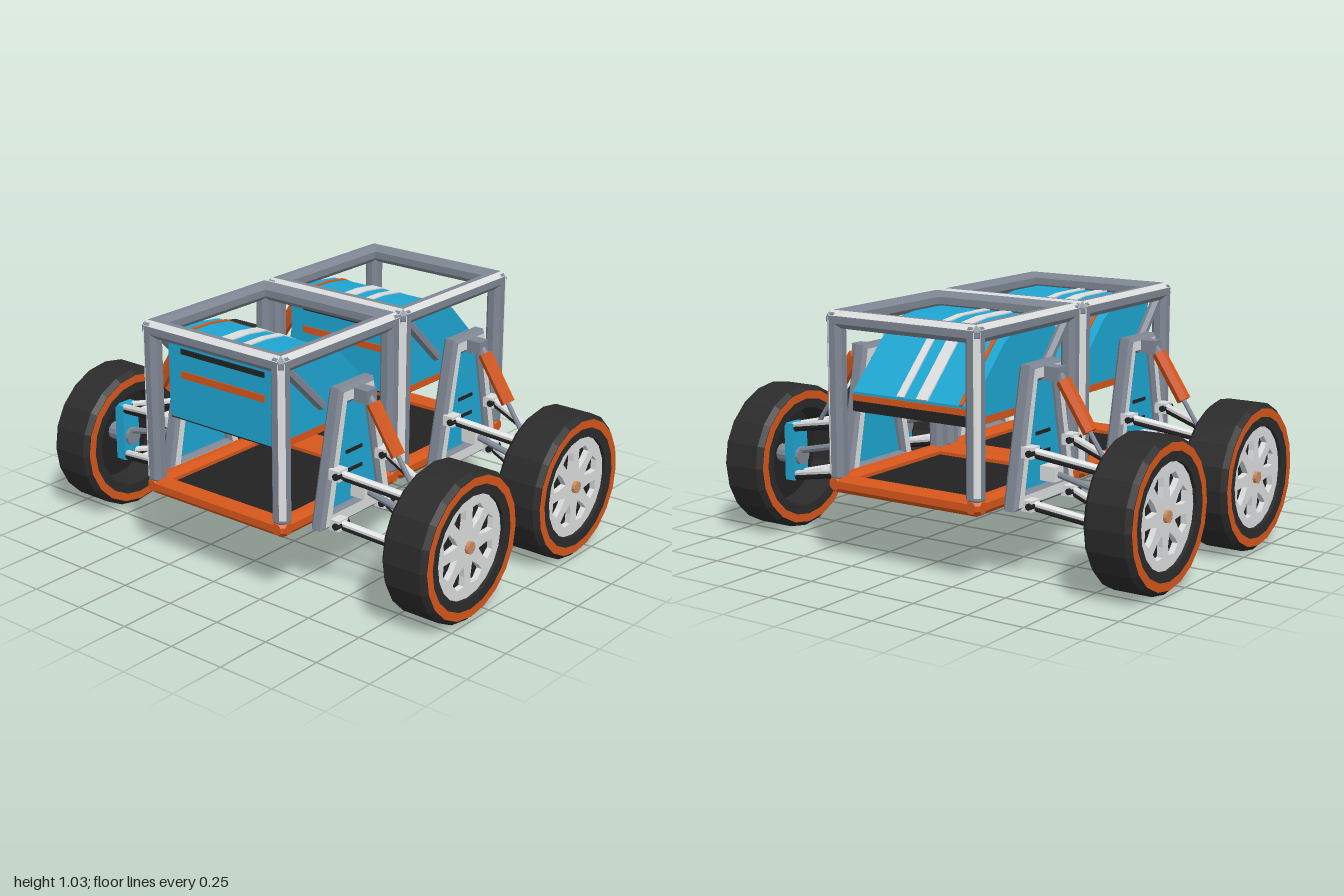
import * as THREE from 'three';

const mat = (name, color) => Object.assign(new THREE.MeshStandardMaterial({ color }), { name });
const M = {
  frame: mat('frame grey', 0x7f8794),
  silver: mat('silver', 0xdcdedf),
  blue: mat('shell blue', 0x1ea6d2),
  orange: mat('orange', 0xd7571b),
  black: mat('black', 0x222222),
  tyre: mat('tyre rubber', 0x2b2b2b),
  copper: mat('copper', 0xcf8c62),
};

const flat = (g) => {
  const n = g.index ? g.toNonIndexed() : g;
  n.computeVertexNormals();
  return n;
};

function add(parent, name, geo, material, x = 0, y = 0, z = 0) {
  const m = new THREE.Mesh(geo, material);
  m.name = name;
  m.position.set(x, y, z);
  parent.add(m);
  return m;
}

const box = (p, name, m, w, h, d, x, y, z) => add(p, name, new THREE.BoxGeometry(w, h, d), m, x, y, z);

const shapeOf = (pts) => new THREE.Shape(pts.map(([a, b]) => new THREE.Vector2(a, b)));

// Extrudes a side outline (z, y) between two x positions
function sideExtrude(shape, x0, x1, bevel = 0) {
  const g = new THREE.ExtrudeGeometry(shape, {
    depth: x1 - x0 - 2 * bevel, bevelEnabled: bevel > 0, bevelSize: bevel, bevelThickness: bevel,
    bevelOffset: -bevel, bevelSegments: 1, curveSegments: 20,
  });
  g.translate(0, 0, bevel);
  g.rotateY(-Math.PI / 2);
  g.translate(x1, 0, 0);
  return g;
}

// Straight rod between two points
function rod(p, name, m, a, b, r, sides = 8) {
  const A = new THREE.Vector3(...a), B = new THREE.Vector3(...b);
  const dir = B.clone().sub(A);
  const mesh = add(p, name, flat(new THREE.CylinderGeometry(r, r, dir.length(), sides)), m);
  mesh.position.copy(A).add(B).multiplyScalar(0.5);
  mesh.quaternion.setFromUnitVectors(new THREE.Vector3(0, 1, 0), dir.normalize());
  return mesh;
}

// Beam with chamfered edges and ends, along the given axis
function beam(p, name, m, len, axis, x, y, z) {
  const h = 0.035, c = 0.02, k = h - c;
  const s = shapeOf([[-k, -h], [k, -h], [h, -k], [h, k], [k, h], [-k, h], [-h, k], [-h, -k]]);
  const g = new THREE.ExtrudeGeometry(s, {
    depth: len - 2 * c, bevelEnabled: true, bevelSize: 0.012, bevelThickness: c, bevelOffset: -0.012, bevelSegments: 1,
  });
  g.translate(0, 0, c - len / 2);
  if (axis === 'x') g.rotateY(Math.PI / 2);
  if (axis === 'y') g.rotateX(Math.PI / 2);
  add(p, name, g, m, x, y, z);
}

function cubeFrame() {
  const g = new THREE.Group();
  g.name = 'cubeFrame';
  const e = 0.335, o = e + 0.025, top = 1.02, w = 0.029, t = 0.006;
  for (const s of [-1, 1]) {
    beam(g, 'topRail', M.frame, 0.74, 'x', 0, 0.995, s * e);
    beam(g, 'topRail', M.frame, 0.74, 'z', s * e, 0.995, 0);
    beam(g, 'bottomRail', M.orange, 0.74, 'x', 0, 0.325, s * e);
    beam(g, 'bottomRail', M.orange, 0.74, 'z', s * e, 0.325, 0);
    // Bright strips on the outer chamfers
    box(g, 'topEdgeStrip', M.silver, 0.7, t, w, 0, top, s * o).rotation.x = s * Math.PI / 4;
    box(g, 'topEdgeStrip', M.silver, w, t, 0.7, s * o, top, 0).rotation.z = -s * Math.PI / 4;
    for (const u of [-1, 1]) {
      beam(g, 'pillar', M.frame, 0.69, 'y', s * e, 0.68, u * e);
      box(g, 'pillarEdgeStrip', M.silver, w, 0.64, t, s * o, 0.685, u * o).rotation.y = s * u * Math.PI / 4;
    }
    // Diagonal brace from the front top corner toward the tower
    rod(g, 'brace', M.frame, [s * 0.33, 0.96, 0.3], [s * 0.34, 0.76, 0.1], 0.022, 6);
  }
  box(g, 'floor', M.black, 0.62, 0.02, 0.62, 0, 0.315, 0);
  return g;
}

function shell() {
  const g = new THREE.Group();
  g.name = 'shell';
  const roof = [[0.295, 0.975], [0.11, 0.975], [0.005, 0.962], [-0.075, 0.92], [-0.295, 0.7]];
  add(g, 'shellBody', sideExtrude(shapeOf([...roof, [-0.295, 0.645], [-0.295, 0.625], [0.295, 0.625]]), -0.29, 0.29), M.blue);
  box(g, 'shellUnderside', M.black, 0.578, 0.006, 0.586, 0, 0.622, 0);
  // Painted bands that follow the roof
  const band = (name, m, x0, x1) => {
    const upper = roof.map(([z, y], i) => [z - i * 0.001, y + 0.005]);
    add(g, name, sideExtrude(shapeOf([...upper, ...roof.slice().reverse()]), x0, x1), m);
  };
  band('wideStripe', M.silver, -0.08, -0.025);
  band('narrowStripe', M.silver, 0.035, 0.07);
  band('thinStripe', M.orange, -0.248, -0.232);
  // Lower trim and rear panel
  for (const s of [-1, 1]) box(g, 'sideTrim', M.orange, 0.006, 0.03, 0.59, s * 0.2885, 0.635, 0);
  box(g, 'rearTrim', M.orange, 0.58, 0.026, 0.008, 0, 0.677, -0.296);
  box(g, 'rearPanel', M.black, 0.575, 0.04, 0.009, 0, 0.644, -0.297);
  // Front slots and marker bar
  for (const [y, h] of [[0.947, 0.016], [0.912, 0.022]]) box(g, 'frontSlot', M.black, 0.44, h, 0.008, 0, y, 0.296);
  box(g, 'frontBar', M.orange, 0.44, 0.03, 0.008, 0, 0.815, 0.296);
  return g;
}

function wheel() {
  const g = new THREE.Group();
  g.name = 'wheel';
  const lathe = (pts, n) => {
    const geo = new THREE.LatheGeometry(pts.map(([r, y]) => new THREE.Vector2(r, y)), n);
    geo.rotateZ(-Math.PI / 2);
    return flat(geo);
  };
  add(g, 'tyre', lathe([[0.215, -0.1], [0.29, -0.103], [0.31, -0.083], [0.31, 0.083], [0.29, 0.103],
    [0.215, 0.1], [0.215, -0.1]], 20), M.tyre);
  for (const s of [-1, 1]) {
    const ring = new THREE.RingGeometry(0.255, 0.29, 20);
    ring.rotateY(s * Math.PI / 2);
    add(g, 'sidewallRing', ring, M.orange, s * 0.105);
  }
  // Rim disc with eight openings
  const disc = new THREE.Shape().absarc(0, 0, 0.217, 0, Math.PI * 2);
  for (let i = 0; i < 8; i++) {
    const a = (i + 0.5) * Math.PI / 4;
    const pt = (r, d) => [r * Math.cos(a + d), r * Math.sin(a + d)];
    disc.holes.push(new THREE.Path([pt(0.075, 0), pt(0.12, -0.22), pt(0.16, -0.25), pt(0.175, 0),
      pt(0.16, 0.25), pt(0.12, 0.22)].map(([x, y]) => new THREE.Vector2(x, y))));
  }
  add(g, 'rim', sideExtrude(disc, 0.06, 0.085), M.silver);
  const cyl = (name, m, r, x0, x1, n) => {
    const c = new THREE.CylinderGeometry(r, r, x1 - x0, n);
    c.rotateZ(-Math.PI / 2);
    add(g, name, flat(c), m, (x0 + x1) / 2);
  };
  cyl('hubCap', M.copper, 0.025, 0.08, 0.1, 12);
  cyl('backingDisc', M.black, 0.212, 0.04, 0.058, 20);
  cyl('axle', M.frame, 0.04, -0.08, 0.05, 12);
  box(g, 'upright', M.blue, 0.05, 0.25, 0.09, -0.04, 0.02, 0);
  return g;
}

// Tower, suspension and wheel for the +x side
function corner() {
  const g = new THREE.Group();
  g.name = 'suspensionCorner';
  const tower = shapeOf([[-0.22, 0.29], [0.22, 0.29], [0.105, 0.85], [-0.105, 0.85]]);
  const win = [[-0.145, 0.36], [0.145, 0.36], [0.06, 0.78], [-0.06, 0.78]];
  tower.holes.push(new THREE.Path(win.map(([a, b]) => new THREE.Vector2(a, b))));
  add(g, 'tower', sideExtrude(tower, 0.375, 0.445, 0.015), [M.silver, M.frame]);
  add(g, 'towerPanel', sideExtrude(shapeOf(win), 0.405, 0.42), M.blue);
  for (const y of [0.49, 0.57]) box(g, 'towerLouver', M.black, 0.008, 0.014, 0.1, 0.421, y, 0);

  // Upper and lower wishbones, pale above and dark below, with their pivots
  for (const [y0, y1] of [[0.52, 0.45], [0.31, 0.235]]) {
    for (const s of [-1, 1]) {
      const z = s * 0.145;
      box(g, 'pivotBlock', M.silver, 0.05, 0.045, 0.06, 0.46, y0, z);
      rod(g, 'pivotPin', M.black, [0.475, y0, z - 0.04], [0.475, y0, z + 0.04], 0.014);
      rod(g, 'wishboneArm', M.silver, [0.47, y0 + 0.006, z], [0.84, y1 - 0.004, s * 0.025], 0.015);
      rod(g, 'wishboneUnderside', M.black, [0.47, y0 - 0.006, z], [0.84, y1 - 0.016, s * 0.025], 0.0155);
    }
    const t = y1 + 0.015;
    rod(g, 'wishboneTie', M.silver, [0.725, t, -0.06], [0.725, t, 0.06], 0.012);
  }
  box(g, 'linkMount', M.silver, 0.07, 0.06, 0.06, 0.465, 0.41, 0);
  rod(g, 'steeringLink', M.frame, [0.48, 0.41, 0], [0.84, 0.33, 0], 0.014);

  // Damper
  box(g, 'damperMount', M.frame, 0.09, 0.055, 0.06, 0.465, 0.81, 0);
  rod(g, 'damperTop', M.frame, [0.49, 0.81, 0], [0.53, 0.76, 0], 0.02);
  rod(g, 'damperBody', M.orange, [0.515, 0.785, 0], [0.64, 0.595, 0], 0.03, 6);
  rod(g, 'damperRod', M.frame, [0.635, 0.6, 0], [0.725, 0.465, 0], 0.01);

  const w = wheel();
  w.position.set(0.895, 0.31, 0);
  g.add(w);
  return g;
}

export function createModel() {
  const model = new THREE.Group();
  model.name = 'twinCubeRover';
  for (const z of [-0.375, 0.375]) {
    const unit = new THREE.Group();
    unit.name = z > 0 ? 'frontModule' : 'rearModule';
    unit.position.z = z;
    const left = corner(), right = corner();
    left.name = 'leftCorner';
    right.name = 'rightCorner';
    right.rotation.y = Math.PI;
    unit.add(cubeFrame(), shell(), left, right);
    model.add(unit);
  }
  return model;
}
